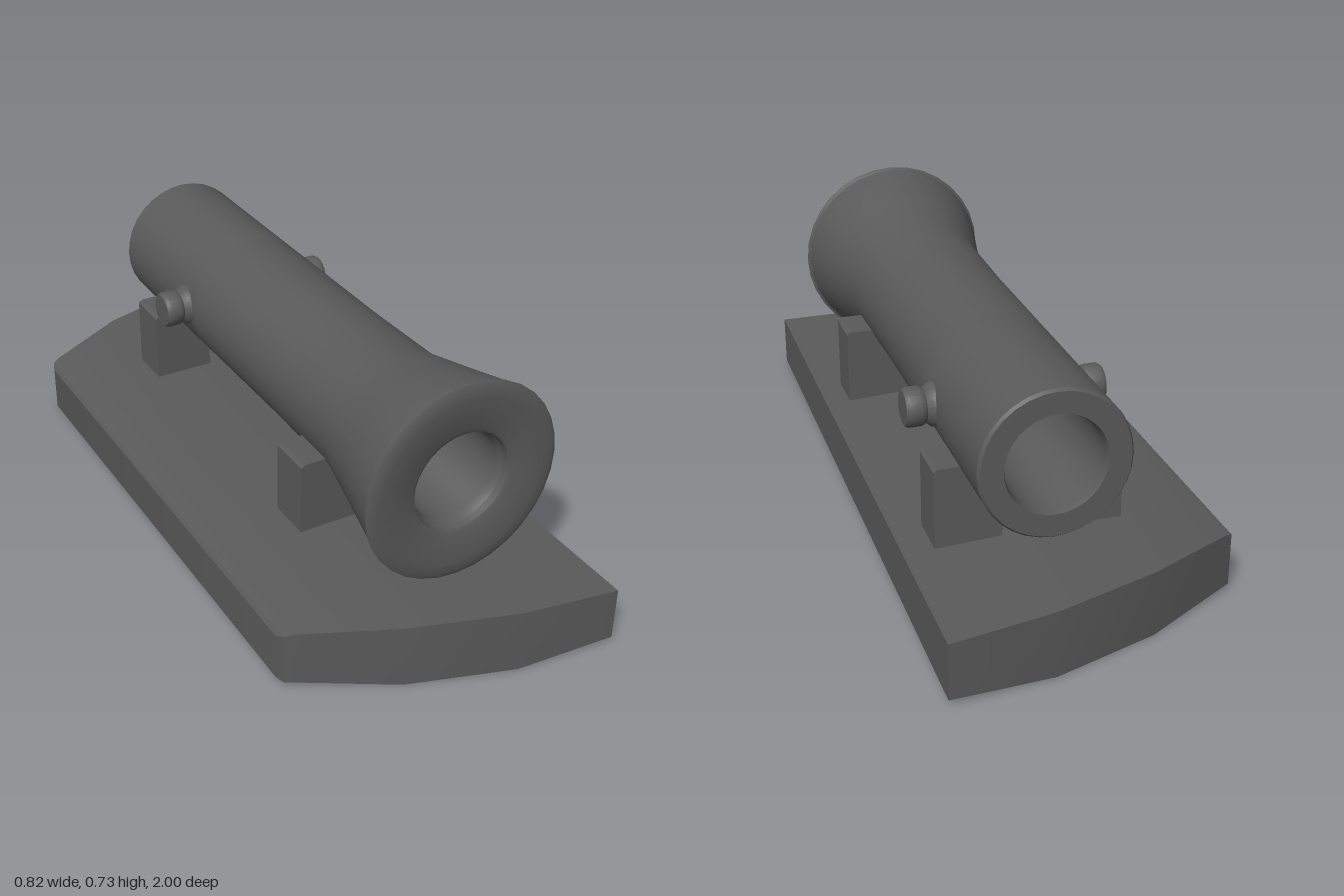
import * as THREE from 'three';
import { toCreasedNormals } from 'three/addons/utils/BufferGeometryUtils.js';

const AXIS_X = 0.085, AXIS_Y = 0.456;

export function createModel() {
  const model = new THREE.Group();
  const iron = new THREE.MeshStandardMaterial({ color: 0x5a5a5a });
  iron.name = 'dark grey';

  const add = (name, geometry, parent = model, crease = 0.6) => {
    const mesh = new THREE.Mesh(toCreasedNormals(geometry, crease), iron);
    mesh.name = name;
    parent.add(mesh);
    return mesh;
  };

  // Base slab: rectangular sections [x, half length, bottom, top] joined along x
  const sections = [
    [-0.41, 0.72, 0.017, 0.148], [-0.402, 0.745, 0.016, 0.159], [-0.38, 0.757, 0.015, 0.166],
    [-0.14, 0.88, 0.0, 0.178], [0.14, 0.97, 0.0, 0.178], [0.41, 1.0, 0.015, 0.164],
  ];
  const positions = [], index = [];
  for (const [x, h, y0, y1] of sections) {
    positions.push(x, y0, h, x, y1, h, x, y1, -h, x, y0, -h);
  }
  for (let i = 0; i < sections.length - 1; i++) {
    for (let j = 0; j < 4; j++) {
      const a = i * 4 + j, b = i * 4 + (j + 1) % 4;
      index.push(a, a + 4, b + 4, a, b + 4, b);
    }
  }
  const e = (sections.length - 1) * 4;
  index.push(0, 1, 2, 0, 2, 3, e, e + 2, e + 1, e, e + 3, e + 2);
  const slab = new THREE.BufferGeometry();
  slab.setAttribute('position', new THREE.Float32BufferAttribute(positions, 3));
  slab.setIndex(index);
  add('base', slab);

  // Barrel group, its axis along z
  const barrel = new THREE.Group();
  barrel.name = 'barrel';
  barrel.position.set(AXIS_X, AXIS_Y, 0);
  model.add(barrel);
  const turned = (name, profile) => add(name,
    new THREE.LatheGeometry(profile.map(([r, z]) => new THREE.Vector2(r, z)), 32).rotateX(Math.PI / 2), barrel);

  // Rear sleeve with a slightly eased end
  turned('rearSleeve', [
    [0.13, -0.795], [0.187, -0.795], [0.193, -0.787], [0.193, -0.325],
  ]);
  // Flared body and muzzle rim
  turned('flaredBody', [
    [0.193, -0.325], [0.193, 0.14], [0.199, 0.43], [0.232, 0.58], [0.267, 0.73],
    [0.269, 0.753], [0.277, 0.757], [0.277, 0.761], [0.262, 0.768], [0.235, 0.768],
    [0.15, 0.764], [0.138, 0.758], [0.134, 0.74],
  ]);
  // Bore running right through
  turned('bore', [
    [0.134, 0.74], [0.125, 0.72], [0.125, -0.78], [0.13, -0.795],
  ]);

  // Side knobs and cradle blocks, mirrored about the barrel
  const knob = [[0.06, 0.17], [0.057, 0.195], [0.044, 0.21], [0.05, 0.217],
    [0.052, 0.225], [0.052, 0.255], [0.046, 0.264], [0, 0.265]];
  const cradle = (width) => {
    const shape = new THREE.Shape();
    shape.moveTo(0.07, -0.29);
    shape.lineTo(width, -0.29);
    shape.lineTo(width, -0.08);
    shape.lineTo(width - 0.01, -0.071);
    shape.lineTo(0.174, -0.071);
    shape.absarc(0, 0, 0.188, -0.387, -1.188, true);
    shape.closePath();
    return new THREE.ExtrudeGeometry(shape, { depth: 0.126, bevelEnabled: false, curveSegments: 8 })
      .translate(0, 0, -0.063);
  };
  for (const [side, turn] of [['left', 0], ['right', Math.PI]]) {
    const pin = new THREE.LatheGeometry(knob.map(([r, y]) => new THREE.Vector2(r, y)), 20);
    const knobMesh = add(side + 'Knob', pin.rotateZ(-Math.PI / 2).rotateY(turn), barrel);
    knobMesh.position.z = -0.39;
    for (const [end, z, width] of [['Front', 0.36, 0.256], ['Rear', -0.542, 0.245]]) {
      const block = add(side + end + 'Cradle', cradle(width).rotateY(turn), barrel);
      block.position.z = z;
    }
  }
  return model;
}
